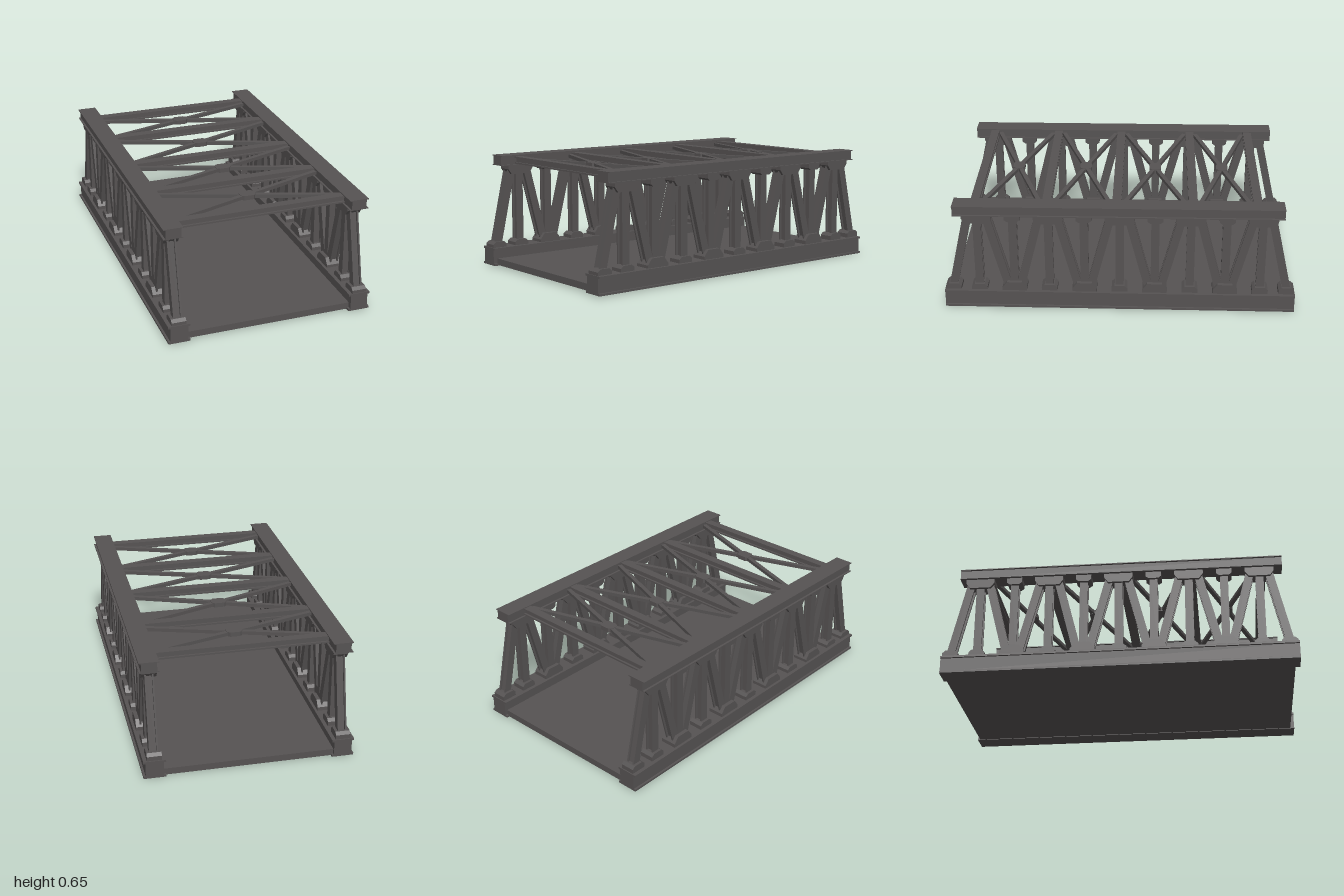
import * as THREE from 'three';

export function createModel() {
  const bridge = new THREE.Group();
  bridge.name = 'trussBridge';
  const steel = new THREE.MeshStandardMaterial({ color: 0x565353, flatShading: true });

  const add = (parent, name, geometry, x = 0, y = 0, z = 0) => {
    const mesh = new THREE.Mesh(geometry, steel);
    mesh.name = name;
    mesh.position.set(x, y, z);
    parent.add(mesh);
    return mesh;
  };
  const box = (w, h, d) => new THREE.BoxGeometry(w, h, d);

  // Extrusion of an outline, centred on its depth
  const prism = (points, depth) => {
    const shape = new THREE.Shape(points.map(([a, b]) => new THREE.Vector2(a, b)));
    return new THREE.ExtrudeGeometry(shape, { depth, bevelEnabled: false }).translate(0, 0, -depth / 2);
  };

  // I-section with horizontal flanges, running along z
  const iBeam = (w, h, web, flange, length) => {
    const a = w / 2, b = h / 2, c = web / 2, f = b - flange;
    return prism([[-a, -b], [a, -b], [a, -f], [c, -f], [c, f], [a, f],
      [a, b], [-a, b], [-a, f], [-c, f], [-c, -f], [-a, -f]], length);
  };

  // Connector block: outline in the z-y plane, extruded across x
  const gusset = (points, width) => prism(points, width).rotateY(Math.PI / 2);
  const upperBig = gusset([[-0.06, -0.055], [0.06, -0.055], [0.082, -0.025], [0.082, 0], [-0.082, 0], [-0.082, -0.025]], 0.084);
  const upperSmall = gusset([[-0.028, -0.042], [0.028, -0.042], [0.044, -0.03], [0.044, 0], [-0.044, 0], [-0.044, -0.03]], 0.084);
  const lowerBig = gusset([[-0.07, 0], [0.07, 0], [0.07, 0.022], [0.042, 0.058], [-0.042, 0.058], [-0.07, 0.022]], 0.094);
  const lowerSmall = gusset([[-0.045, 0], [0.045, 0], [0.045, 0.025], [0.028, 0.04], [-0.028, 0.04], [-0.045, 0.025]], 0.082);

  // Strut between two (z, y) points, flanges facing sideways
  const strut = (parent, name, z0, y0, z1, y1) => {
    const length = Math.hypot(z1 - z0, y1 - y0);
    const geometry = iBeam(0.046, 0.05, 0.022, 0.009, length)
      .rotateZ(Math.PI / 2).rotateX(Math.PI / 2);
    const mesh = add(parent, name, geometry, 0, (y0 + y1) / 2, (z0 + z1) / 2);
    mesh.rotation.x = Math.atan2(z1 - z0, y1 - y0);
  };

  // Side trusses
  for (const side of [1, -1]) {
    const truss = new THREE.Group();
    truss.name = side > 0 ? 'leftTruss' : 'rightTruss';
    truss.position.x = side * 0.524;
    bridge.add(truss);

    const lower = add(truss, 'lowerChord', iBeam(0.124, 0.104, 0.1, 0.012, 2), 0, 0.058);
    lower.rotation.x = -0.004;
    add(truss, 'upperChord', iBeam(0.11, 0.06, 0.086, 0.005, 1.845), 0.004 * side, 0.623, 0.007);

    for (let i = -4; i <= 4; i++) {
      const z = i * 0.2, main = i % 2 === 0;
      add(truss, 'upperGusset', main ? upperBig : upperSmall, 0, 0.595, z);
      add(truss, 'lowerGusset', main ? lowerSmall : lowerBig, 0, 0.107, z);
      strut(truss, 'post', z, 0.13, z, 0.57);
      if (!main) continue;
      for (const dir of [1, -1]) {
        const end = i * dir === 4;
        const foot = z + dir * (end ? 0.152 : 0.165);
        strut(truss, end ? 'endDiagonal' : 'diagonal', foot, 0.13, z + dir * 0.055, 0.56);
      }
    }
    for (const z of [0.95, -0.95]) add(truss, 'endGusset', lowerSmall, 0, 0.107, z);
  }

  // Deck between the trusses
  add(bridge, 'deck', box(0.96, 0.038, 1.96), 0, 0.028, -0.005).rotation.x = -0.004;

  // Overhead cross beams
  const beams = [-0.77, -0.41, 0.017, 0.41, 0.812];
  const crossBeam = iBeam(0.05, 0.042, 0.026, 0.009, 0.97).rotateY(Math.PI / 2);
  for (const z of beams) add(bridge, 'crossBeam', crossBeam, 0, 0.622, z);

  // X bracing with an eight-sided centre plate in each bay
  const plate = prism([[-0.045, -0.018], [-0.028, -0.034], [0.028, -0.034], [0.045, -0.018],
    [0.045, 0.018], [0.028, 0.034], [-0.028, 0.034], [-0.045, 0.018]], 0.026).rotateX(Math.PI / 2);
  for (let i = 0; i < 4; i++) {
    const z = (beams[i] + beams[i + 1]) / 2;
    const rise = beams[i + 1] - beams[i] - 0.07;
    const bay = new THREE.Group();
    bay.name = 'crossBracing';
    bay.position.set(0, 0.622, z);
    bridge.add(bay);
    add(bay, 'centrePlate', plate);
    for (const s of [1, -1]) {
      add(bay, 'brace', box(Math.hypot(0.96, rise), 0.02, 0.025)).rotation.y = s * Math.atan2(rise, 0.96);
    }
  }

  return bridge;
}
